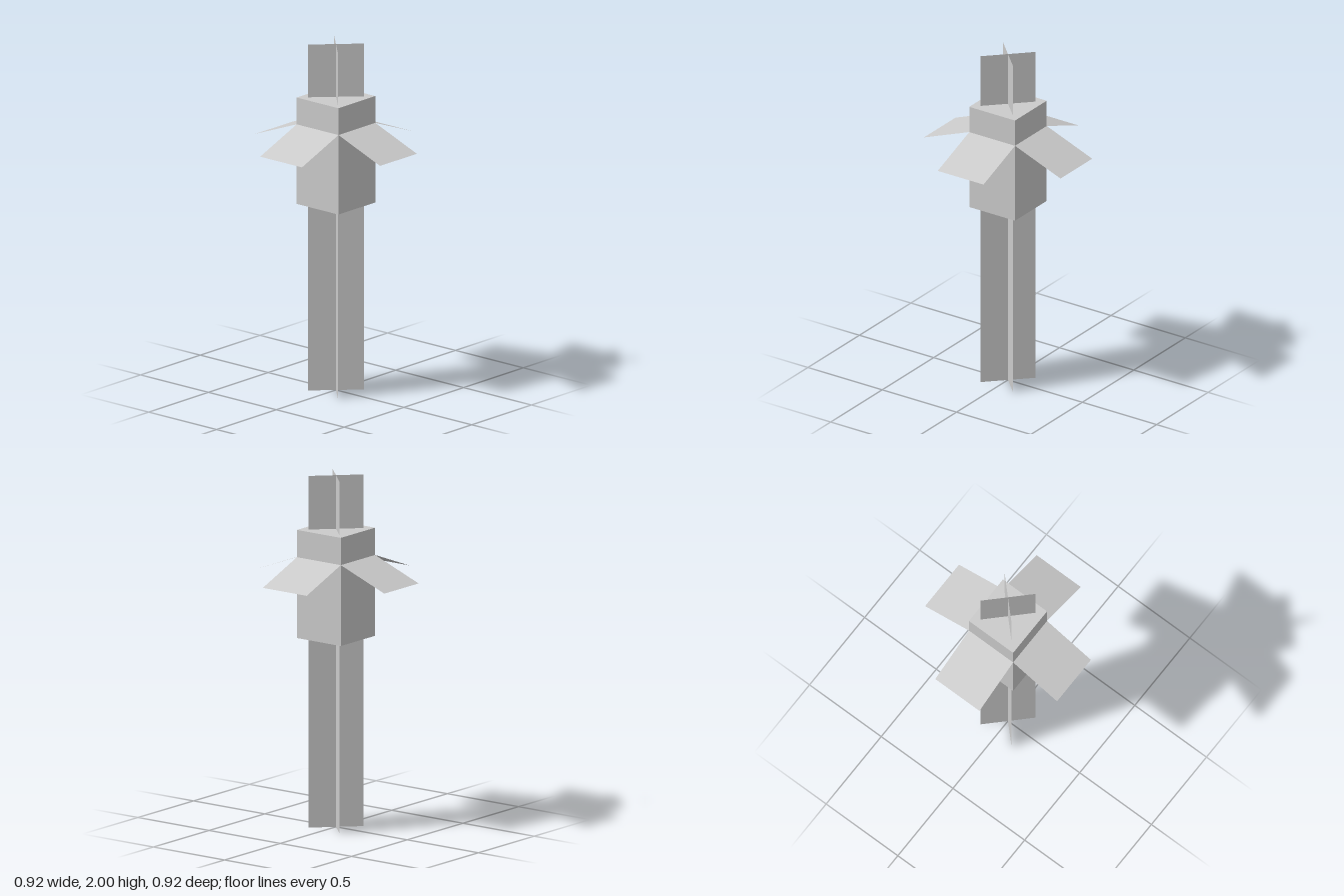
import * as THREE from 'three';

const HALF = 0.154; // half width of the central block

export function createModel() {
  const model = new THREE.Group();
  const solid = new THREE.MeshStandardMaterial({ color: 0xcccccc, flatShading: true });
  const sheet = new THREE.MeshStandardMaterial({ color: 0xcccccc, flatShading: true, side: THREE.DoubleSide });

  const add = (name, geometry, material) => {
    const mesh = new THREE.Mesh(geometry, material);
    mesh.name = name;
    model.add(mesh);
    return mesh;
  };

  // two crossed upright sheets forming the stem
  for (const side of [-1, 1]) {
    const stem = add('stemSheet', new THREE.PlaneGeometry(HALF * 2, 2), sheet);
    stem.position.y = 1;
    stem.rotation.y = side * Math.PI / 4;
  }

  // block around the upper stem
  const block = add('block', new THREE.BoxGeometry(HALF * 2, 0.615, HALF * 2), solid);
  block.position.y = 1.3875;

  // four flaps sloping down and out from the block's sides
  const reach = 0.306, drop = 0.117;
  const flapGeometry = new THREE.PlaneGeometry(HALF * 2, Math.hypot(reach, drop))
    .rotateX(-Math.atan2(reach, drop))
    .translate(0, 1.54 - drop / 2, HALF + reach / 2);
  for (let i = 0; i < 4; i++) {
    add('flap', flapGeometry, sheet).rotation.y = i * Math.PI / 2;
  }

  return model;
}
